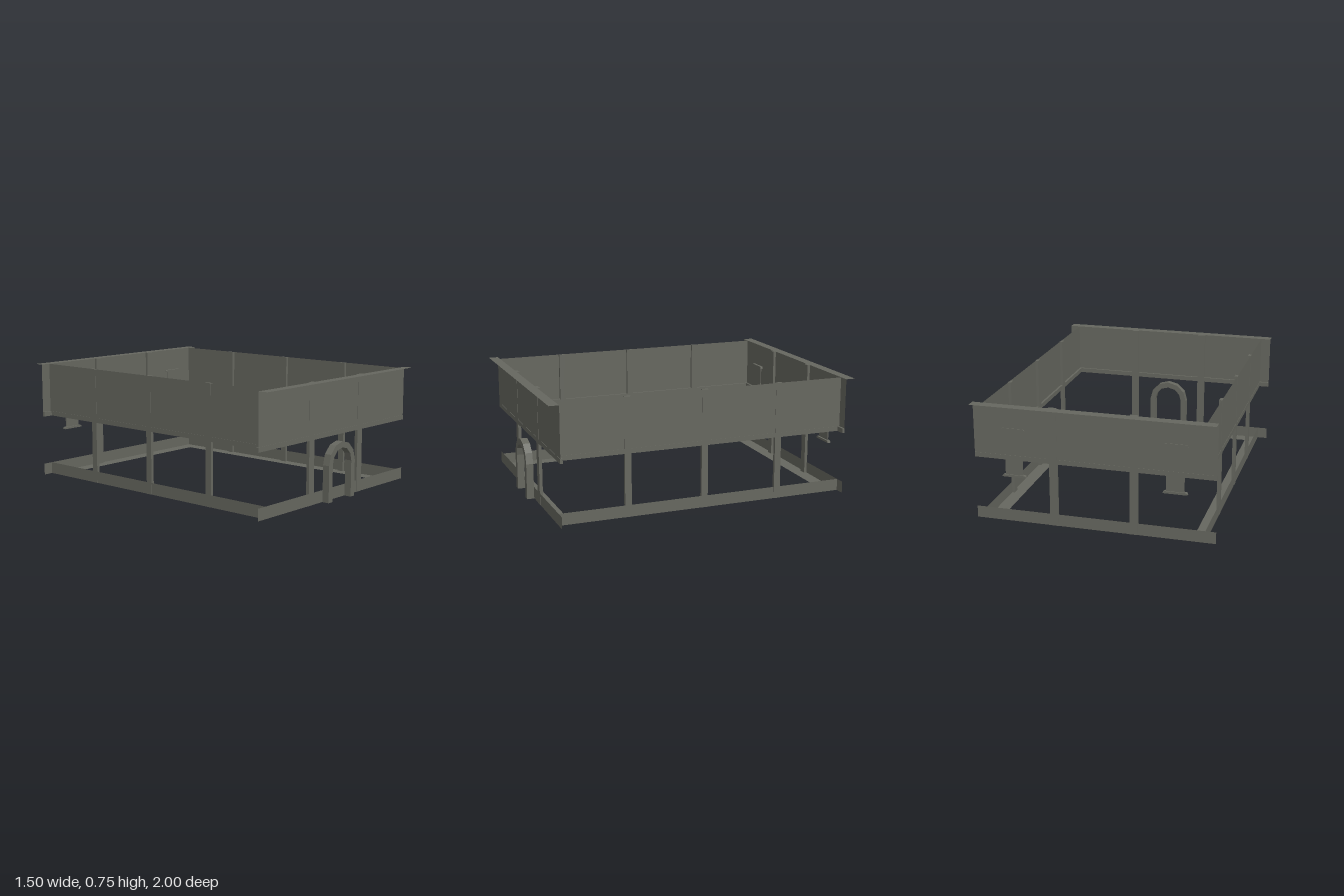
import * as THREE from 'three';

const H = 0.75, BAND = 0.4, SKIRT = 0.075;
const END_Z = 0.94, SIDE_X = 0.687;

export function createModel() {
  const model = new THREE.Group();
  model.name = 'hallFrame';
  const stone = new THREE.MeshStandardMaterial({ color: 0x66675f, side: THREE.DoubleSide });
  stone.name = 'greyStone';

  const add = (parent, name, geometry, x = 0, y = 0, z = 0) => {
    const mesh = new THREE.Mesh(geometry, stone);
    mesh.name = name;
    mesh.position.set(x, y, z);
    parent.add(mesh);
    return mesh;
  };

  // One wall facing +z: thin sheets backed by a lower rail and full-height posts
  const wall = (name, width, postXs, postWidth) => {
    const g = new THREE.Group();
    g.name = name;
    add(g, 'wallPanel', new THREE.PlaneGeometry(width, H - BAND), 0, (H + BAND) / 2, -0.002);
    add(g, 'baseSkirt', new THREE.PlaneGeometry(width, SKIRT), 0, SKIRT / 2, -0.002);
    add(g, 'wallRail', new THREE.BoxGeometry(width, 0.03, 0.016), 0, BAND + 0.015, -0.008);
    for (const x of postXs) {
      add(g, 'post', new THREE.BoxGeometry(postWidth, H, 0.02), x, H / 2, -0.01);
    }
    model.add(g);
    return g;
  };

  // Front and back walls, each with a flat cornice reaching outwards
  for (const s of [1, -1]) {
    const g = wall(s > 0 ? 'frontWall' : 'backWall', 1.5, [-0.25, 0.25], 0.05);
    g.position.z = s * END_Z;
    if (s < 0) g.rotation.y = Math.PI;
    const cornice = add(g, 'cornice', new THREE.PlaneGeometry(1.5, 0.062), 0, H, 0.029);
    cornice.rotation.x = -Math.PI / 2;
  }

  // Side walls
  for (const s of [1, -1]) {
    const g = wall(s > 0 ? 'leftWall' : 'rightWall', 2 * END_Z - 0.004, [-0.5, 0, 0.5], 0.042);
    g.position.x = s * SIDE_X;
    g.rotation.y = s * Math.PI / 2;
  }

  // Flat floor border with a large opening
  const rect = (target, x, y) => target.moveTo(-x, -y).lineTo(x, -y).lineTo(x, y).lineTo(-x, y).closePath();
  const border = rect(new THREE.Shape(), SIDE_X - 0.002, END_Z - 0.002);
  border.holes.push(rect(new THREE.Path(), 0.603, 0.851));
  add(model, 'floorBorder', new THREE.ShapeGeometry(border), 0, 0.001, 0).rotation.x = -Math.PI / 2;

  // Faceted doorway arch standing against the front
  const arch = new THREE.Shape();
  const spring = 0.23, outer = 0.135, inner = 0.097, steps = 6;
  arch.moveTo(outer, 0);
  for (let i = 0; i <= steps; i++) {
    const a = Math.PI * i / steps;
    arch.lineTo(outer * Math.cos(a), spring + outer * Math.sin(a));
  }
  arch.lineTo(-outer, 0).lineTo(-inner, 0);
  for (let i = steps; i >= 0; i--) {
    const a = Math.PI * i / steps;
    arch.lineTo(inner * Math.cos(a), spring + inner * Math.sin(a));
  }
  arch.lineTo(inner, 0).closePath();
  add(model, 'doorArch', new THREE.ExtrudeGeometry(arch, { depth: 0.046, bevelEnabled: false }), 0, 0, END_Z);

  // Tall narrow window plates set in the back wall, with a lintel and a sill
  const ledge = new THREE.Shape();
  ledge.moveTo(-0.075, 0).lineTo(0.075, 0).lineTo(0.072, 0.01).lineTo(0.062, 0.014)
    .lineTo(-0.062, 0.014).lineTo(-0.072, 0.01).closePath();
  const ledgeGeometry = new THREE.ExtrudeGeometry(ledge, { depth: 0.022, bevelEnabled: false });
  for (const s of [1, -1]) {
    const g = new THREE.Group();
    g.name = s > 0 ? 'leftBackWindow' : 'rightBackWindow';
    g.position.set(s * 0.5, 0, -END_Z);
    add(g, 'windowPlate', new THREE.BoxGeometry(0.11, 0.29, 0.006), 0, 0.448, 0.007);
    add(g, 'windowSill', ledgeGeometry, 0, 0.29, -0.002);
    add(g, 'windowLintel', ledgeGeometry, 0, 0.588, -0.002);
    model.add(g);
  }
  return model;
}
